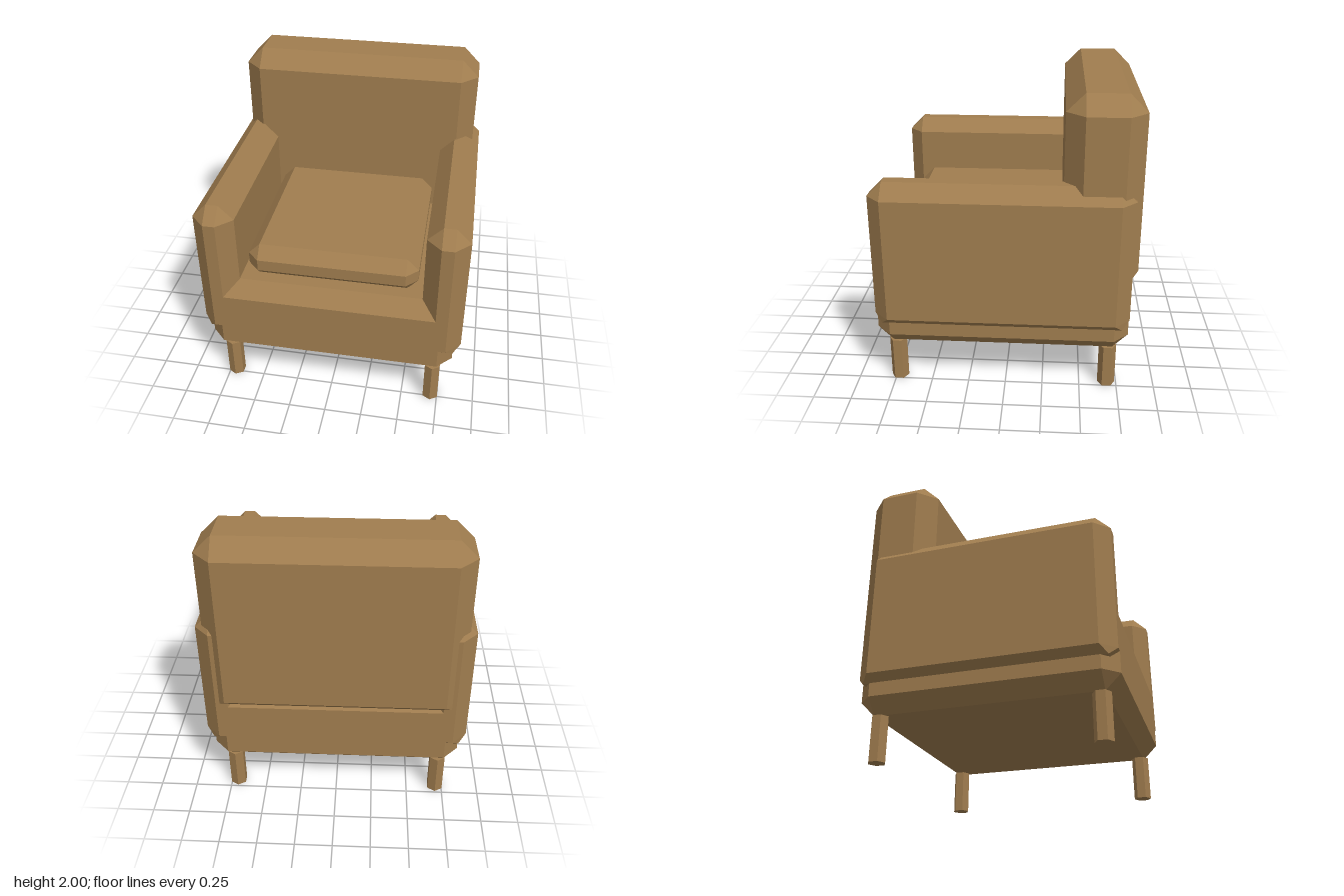
import * as THREE from 'three';
import { ConvexGeometry } from 'three/addons/geometries/ConvexGeometry.js';

// Box with bevelled edges and triangular corners; the bottom bevel may be smaller than the top one.
function bevelBox([x0, x1], [y0, y1], [z0, z1], bevel, bottom = bevel) {
  const points = [];
  for (const sx of [-1, 1]) for (const sy of [-1, 1]) for (const sz of [-1, 1]) {
    const x = sx < 0 ? x0 : x1, y = sy < 0 ? y0 : y1, z = sz < 0 ? z0 : z1;
    const by = sy < 0 ? bottom : bevel;
    points.push(
      new THREE.Vector3(x, y - sy * by, z - sz * bevel),
      new THREE.Vector3(x - sx * by, y, z - sz * by),
      new THREE.Vector3(x - sx * bevel, y - sy * by, z)
    );
  }
  return new ConvexGeometry(points);
}

export function createModel() {
  const group = new THREE.Group();
  group.name = 'armchair';
  const upholstery = new THREE.MeshStandardMaterial({ color: 0xa07d4f, flatShading: true });
  upholstery.name = 'tan upholstery';

  const add = (name, geometry) => {
    const mesh = new THREE.Mesh(geometry, upholstery);
    mesh.name = name;
    group.add(mesh);
    return mesh;
  };

  // Body
  add('seatBase', bevelBox([-0.828, 0.828], [0.297, 0.88], [-0.808, 0.85], 0.097));
  add('backrest', bevelBox([-0.828, 0.828], [0.797, 2], [-0.848, -0.362], 0.115, 0.058));
  add('seatCushion', bevelBox([-0.565, 0.565], [0.87, 1.097], [-0.5, 0.72], 0.077, 0.07));

  // Arms
  add('leftArm', bevelBox([0.605, 0.876], [0.481, 1.446], [-0.808, 0.85], 0.096, 0.05));
  add('rightArm', bevelBox([-0.876, -0.605], [0.481, 1.446], [-0.808, 0.85], 0.096, 0.05));

  // Six-sided legs
  for (const [end, z] of [['front', 0.727], ['back', -0.682]]) {
    for (const [side, x] of [['Left', 0.703], ['Right', -0.703]]) {
      const leg = add(`${end}${side}Leg`, new THREE.CylinderGeometry(0.058, 0.058, 0.297, 6));
      leg.position.set(x, 0.1485, z);
    }
  }
  return group;
}
